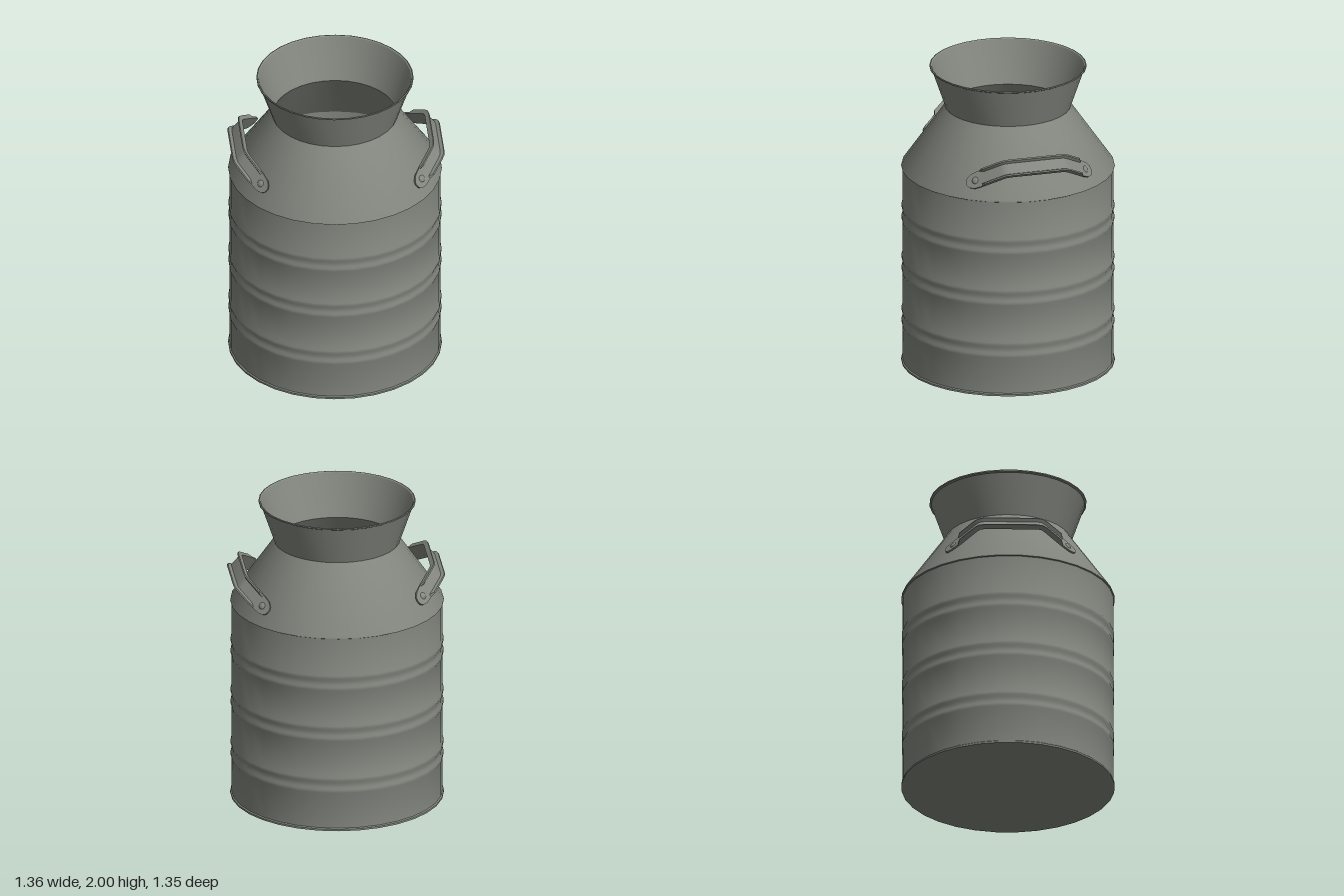
import * as THREE from 'three';
import { toCreasedNormals } from 'three/addons/utils/BufferGeometryUtils.js';

const metal = new THREE.MeshStandardMaterial({ color: 0x848880 });
metal.name = 'grey metal';

function mesh(name, geometry) {
  const m = new THREE.Mesh(geometry, metal);
  m.name = name;
  return m;
}

// Hollow can: one closed profile, up the outside and down the inside
function canGeometry() {
  const p = [[0, 0], [0.68, 0], [0.68, 0.012], [0.672, 0.018]];
  // pairs of raised hoops
  for (const y of [0.31, 0.665, 1.01]) {
    for (const c of [y - 0.04, y + 0.04]) {
      p.push([0.672, c - 0.025], [0.678, c - 0.01], [0.678, c + 0.01], [0.672, c + 0.025]);
    }
  }
  p.push(
    [0.672, 1.312], [0.68, 1.316], [0.678, 1.326],   // shoulder seam
    [0.405, 1.718], [0.4, 1.728],                    // neck
    [0.488, 1.984], [0.5, 1.99], [0.5, 1.998], [0.494, 2], [0.486, 1.994], // rim
    [0.392, 1.722], [0.662, 1.316], [0.662, 0.015], [0, 0.015],            // inside
  );
  const seg = 32;
  const g = new THREE.LatheGeometry(p.map(([x, y]) => new THREE.Vector2(x, y)), seg, Math.PI / seg);
  return toCreasedNormals(g, 0.5);
}

// Bent strap: a channel section swept along z, each station is [z, height, half width, lip]
function strapGeometry() {
  const half = [
    [0.408, -0.02, 0.014, 0], [0.398, -0.012, 0.034, 0], [0.372, 0.008, 0.05, 0],
    [0.325, 0.048, 0.055, 0], [0.305, 0.066, 0.055, 0.02], [0.215, 0.146, 0.055, 0.02],
    [0.195, 0.16, 0.055, 0.02], [0.165, 0.165, 0.055, 0.02],
  ];
  const path = [...half, ...half.map(([z, y, w, l]) => [-z, y, w, l]).reverse()];
  const t = 0.012, pos = [], idx = [], n = 8;
  path.forEach(([z, y, w, lip], i) => {
    const a = path[Math.max(i - 1, 0)], b = path[Math.min(i + 1, path.length - 1)];
    const len = Math.hypot(b[0] - a[0], b[1] - a[1]);
    const nz = (b[1] - a[1]) / len, ny = (a[0] - b[0]) / len;
    const top = t + lip;
    const section = [[-w, top], [-w * 0.82, top], [-w * 0.65, t], [w * 0.65, t],
      [w * 0.82, top], [w, top], [w, 0], [-w, 0]];
    for (const [x, h] of section) pos.push(x, y + ny * h, z + nz * h);
  });
  for (let i = 0; i < path.length - 1; i++) {
    for (let j = 0; j < n; j++) {
      const a = i * n + j, b = i * n + (j + 1) % n;
      idx.push(a, b, b + n, a, b + n, a + n);
    }
  }
  // end caps
  const last = (path.length - 1) * n;
  for (let j = 1; j < n - 1; j++) {
    idx.push(0, j + 1, j, last, last + j, last + j + 1);
  }
  const g = new THREE.BufferGeometry();
  g.setAttribute('position', new THREE.Float32BufferAttribute(pos, 3));
  g.setIndex(idx);
  return toCreasedNormals(g, 0.6);
}

// Handle leaning out from the shoulder, with a rivet on each pad
function createHandle(name, x, y) {
  const handle = new THREE.Group();
  handle.name = name;
  handle.add(mesh('strap', strapGeometry()));
  for (const s of [1, -1]) {
    const rivet = mesh('rivet', new THREE.SphereGeometry(0.025, 16, 6, 0, Math.PI * 2, 0, Math.PI / 2));
    rivet.scale.y = 0.6;
    rivet.position.set(0, 0.024, s * 0.362);
    rivet.rotation.x = s * 0.68;
    handle.add(rivet);
  }
  handle.position.set(x, y, 0);
  handle.rotation.z = -0.85;
  return handle;
}

export function createModel() {
  const model = new THREE.Group();
  model.name = 'milkChurn';
  model.add(mesh('can', canGeometry()));

  const leftSide = new THREE.Group();
  leftSide.name = 'leftSide';
  leftSide.position.z = 0.007;
  leftSide.add(createHandle('leftHandle', 0.5, 1.42));

  const rightSide = new THREE.Group();
  rightSide.name = 'rightSide';
  rightSide.position.z = 0.007;
  rightSide.rotation.y = Math.PI;
  rightSide.add(createHandle('rightHandle', 0.488, 1.442));

  model.add(leftSide, rightSide);
  return model;
}
